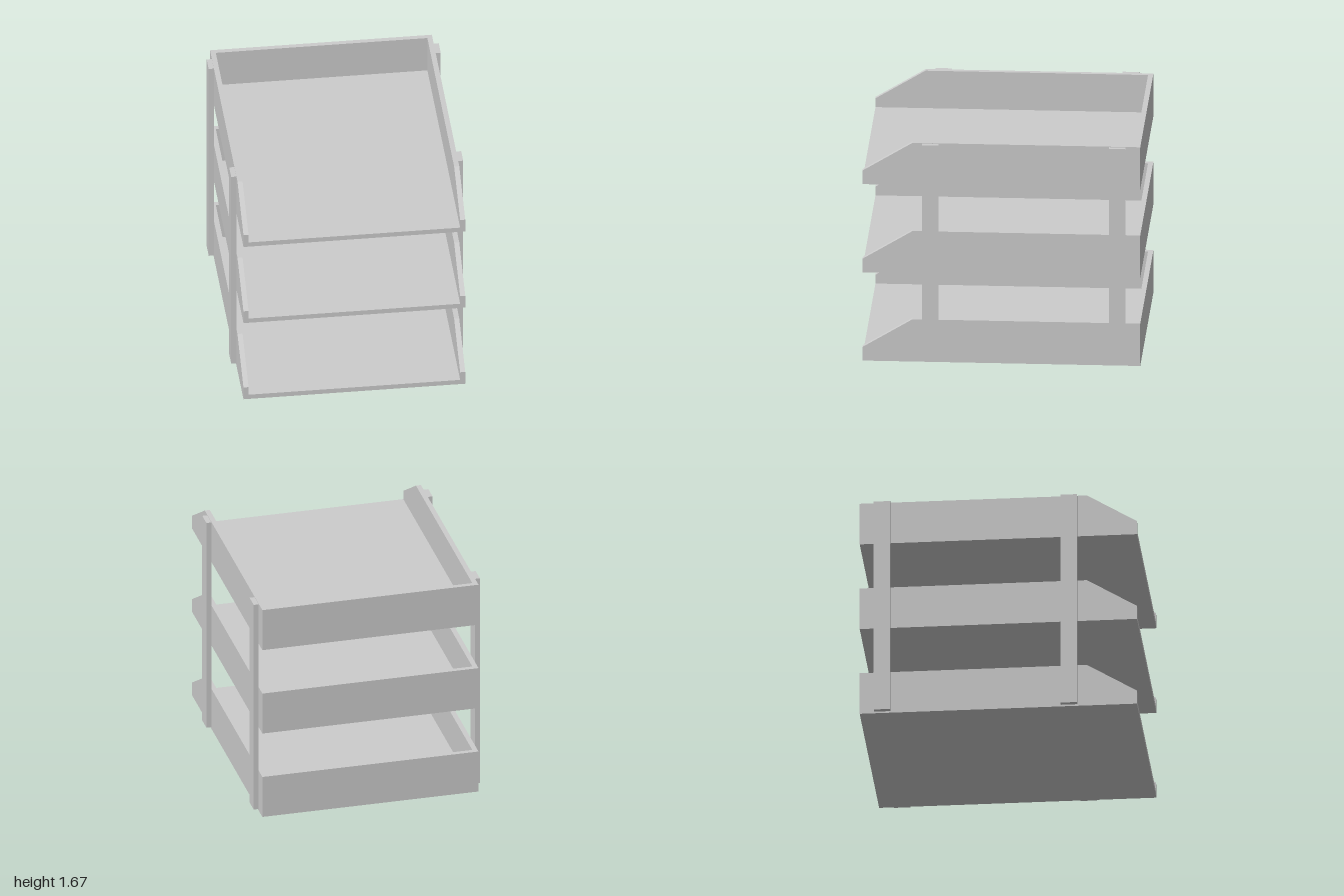
import * as THREE from 'three';

const W = 0.803;      // half width of a tray
const T = 0.037;      // board thickness
const H = 0.322;      // tray height
const PITCH = 0.672;  // spacing between trays

const material = new THREE.MeshStandardMaterial({ color: 0xcccccc, flatShading: true });

function addMesh(parent, name, geometry, x = 0, y = 0, z = 0) {
  const mesh = new THREE.Mesh(geometry, material);
  mesh.name = name;
  mesh.position.set(x, y, z);
  parent.add(mesh);
}

// Side wall outline in (z, y), with the sloping front corner
function sideWallGeometry() {
  const outline = [[-1, T], [1, T], [1, 0.104], [0.64, H], [-1, H]];
  const shape = new THREE.Shape(outline.map(([z, y]) => new THREE.Vector2(z, y)));
  return new THREE.ExtrudeGeometry(shape, { depth: T, bevelEnabled: false })
    .rotateY(-Math.PI / 2)
    .translate(T / 2, 0, 0);
}

// Open-fronted tray: floor, back wall and two side walls
function createTray() {
  const tray = new THREE.Group();
  addMesh(tray, 'floor', new THREE.BoxGeometry(2 * W, T, 2), 0, T / 2, 0);
  addMesh(tray, 'backWall', new THREE.BoxGeometry(2 * (W - T), H - T, T), 0, (H + T) / 2, -1 + T / 2);
  const wall = sideWallGeometry();
  addMesh(tray, 'leftWall', wall, W - T / 2);
  addMesh(tray, 'rightWall', wall, -W + T / 2);
  return tray;
}

export function createModel() {
  const model = new THREE.Group();
  model.name = 'letterTrayStack';

  ['bottomTray', 'middleTray', 'topTray'].forEach((name, i) => {
    const tray = createTray();
    tray.name = name;
    tray.position.y = i * PITCH;
    model.add(tray);
  });

  // Four flat posts on the outside of the side walls
  const postBottom = 0.013, postTop = 1.662;
  const post = new THREE.BoxGeometry(T, postTop - postBottom, 0.119);
  for (const [side, s] of [['Left', 1], ['Right', -1]]) {
    for (const [end, z] of [['front', 0.511], ['back', -0.836]]) {
      addMesh(model, `${end}${side}Post`, post, s * (W + T / 2), (postTop + postBottom) / 2, z);
    }
  }
  return model;
}
